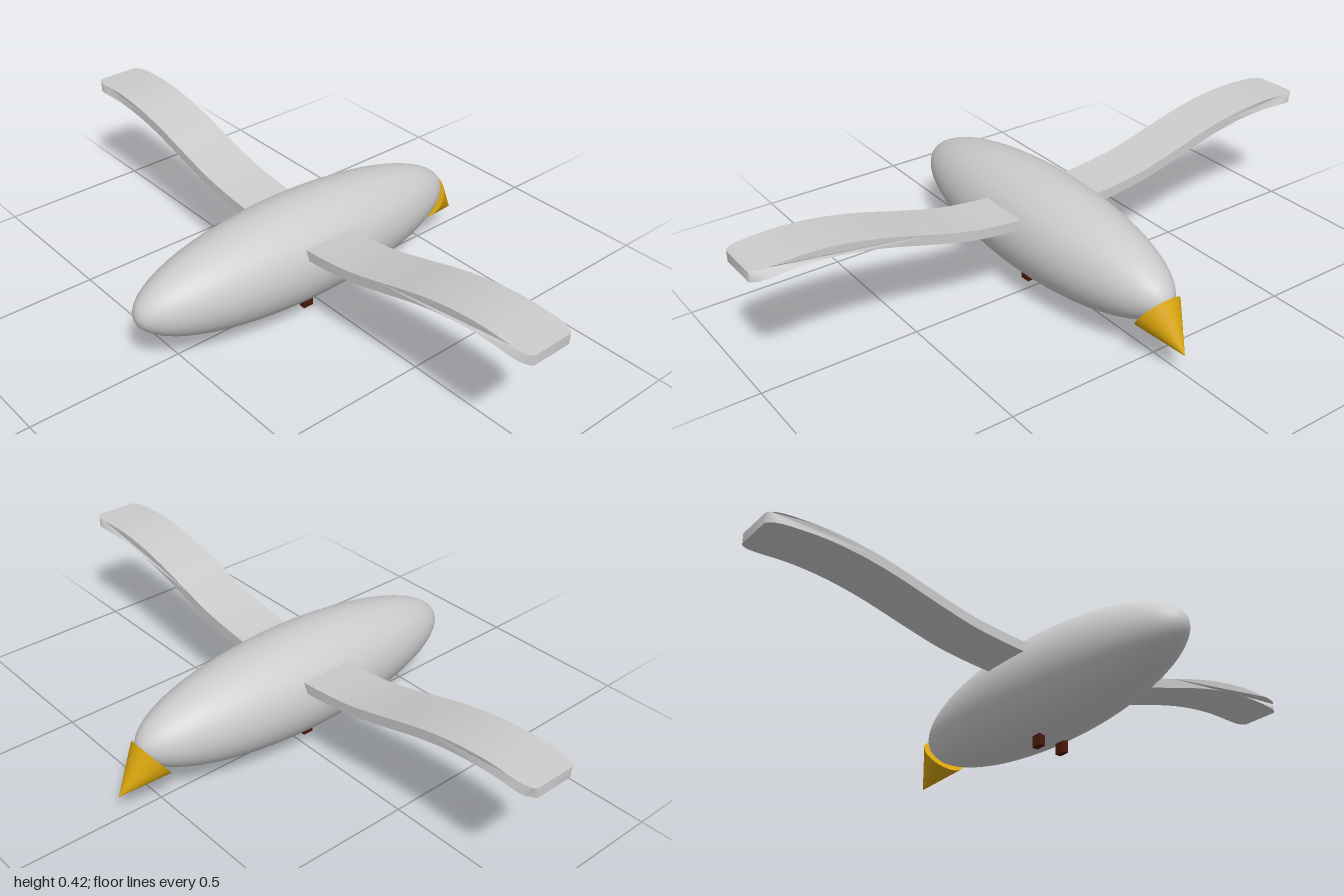
import * as THREE from 'three';
import { toCreasedNormals } from 'three/addons/utils/BufferGeometryUtils.js';

const grey = new THREE.MeshStandardMaterial({ color: 0xcccccc });
const yellow = new THREE.MeshStandardMaterial({ color: 0xd9a50c });
const brown = new THREE.MeshStandardMaterial({ color: 0x4a170a });
const MID_Z = 0.008;

function addPart(group, name, geometry, material, x = 0, y = 0, z = 0) {
  const mesh = new THREE.Mesh(geometry, material);
  mesh.name = name;
  mesh.position.set(x, y, z);
  group.add(mesh);
  return mesh;
}

// Wing: a strip following a gull curve, extruded across its chord, with rounded tip corners
function wingGeometry(side) {
  const curve = new THREE.SplineCurve([
    [0.1, 0.268], [0.2, 0.276], [0.33, 0.294], [0.46, 0.327], [0.6, 0.366],
    [0.72, 0.39], [0.83, 0.4], [0.92, 0.398], [1, 0.393],
  ].map(([z, y]) => new THREE.Vector2(z, y)));
  const stops = [];
  for (let i = 0; i <= 26; i++) stops.push(i / 30);
  stops.push(0.9, 0.93, 0.95, 0.965, 0.978, 0.988, 0.995, 1);

  const half = 0.0165;
  const top = [], bottom = [];
  for (const t of stops) {
    const p = curve.getPoint(t);
    top.push(new THREE.Vector2(side * p.x, p.y + half));
    bottom.push(new THREE.Vector2(side * p.x, p.y - half));
  }
  const geo = new THREE.ExtrudeGeometry(new THREE.Shape([...top, ...bottom.reverse()]), {
    depth: 0.177, bevelEnabled: false,
  });
  geo.translate(0, 0, -0.0885).rotateY(-Math.PI / 2);

  // Narrow the chord near the tip and lean the wing slightly
  const pos = geo.attributes.position;
  for (let i = 0; i < pos.count; i++) {
    const z = pos.getZ(i);
    const u = Math.max(0, (Math.abs(z) - 0.94) / 0.06);
    const inset = 0.025 * (1 - Math.sqrt(Math.max(0, 1 - u * u)));
    const x = pos.getX(i);
    pos.setX(i, x - Math.sign(x) * inset - 0.036 - 0.006 * z);
  }
  return toCreasedNormals(geo, 0.7);
}

export function createModel() {
  const model = new THREE.Group();
  model.name = 'bird';

  // Long ellipsoid body lying along x
  const body = new THREE.SphereGeometry(1, 48, 32).rotateZ(-Math.PI / 2).scale(0.602, 0.17, 0.168);
  addPart(model, 'body', body, grey, -0.038, 0.2, MID_Z);

  // Beak cone, pointing forward and down
  const beak = addPart(model, 'beak', new THREE.ConeGeometry(0.0755, 0.15, 32), yellow, 0.579, 0.113, MID_Z);
  beak.rotation.z = Math.atan2(-0.0875, 0.1225) - Math.PI / 2;

  // Wings and stubby legs, one per side
  for (const side of [1, -1]) {
    const label = side > 0 ? 'near' : 'far';
    addPart(model, label + 'Wing', wingGeometry(side), grey);
    addPart(model, label + 'Leg', new THREE.BoxGeometry(0.036, 0.04, 0.02), brown, -0.048, 0.02, 0.014 + side * 0.045);
  }
  return model;
}
